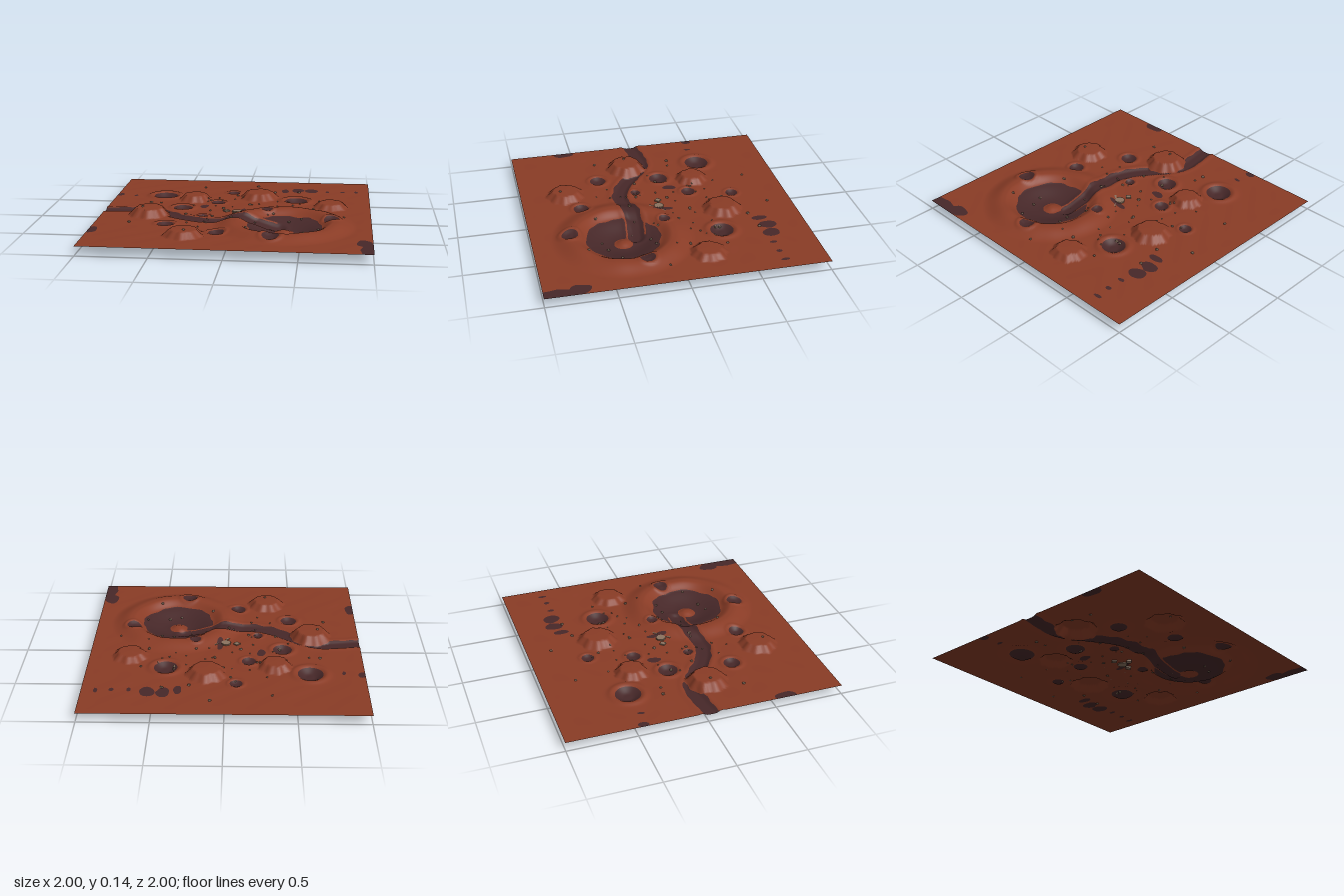
import * as THREE from 'three';
import { mergeGeometries } from 'three/addons/utils/BufferGeometryUtils.js';

const BASE = 0.082, N = 170;
const BASIN = { x: 0.375, z: 0.345, r: 0.27 };
// x, z, dark floor radius
const CRATERS = [
  [-0.61, -0.45, 0.092], [-0.08, -0.59, 0.046], [-0.17, -0.27, 0.052], [0.43, -0.37, 0.085],
  [-0.42, -0.09, 0.07], [0.23, 0.01, 0.042], [-0.24, 0.13, 0.036], [-0.48, 0.38, 0.06],
  [-0.09, 0.575, 0.056], [0.3, 0.72, 0.06], [0.71, 0.24, 0.055],
];
// x, z, radius, height
const MESAS = [
  [-0.64, 0.125, 0.15, 0.056], [-0.36, -0.345, 0.122, 0.046], [0.135, -0.455, 0.145, 0.05],
  [0.7, -0.2, 0.13, 0.04], [-0.31, 0.66, 0.14, 0.046],
];
// Dark ground patches: x, z, half width, half depth
const PATCHES = [
  [0.33, -0.69, 0.03, 0.055], [0.43, -0.72, 0.045, 0.07], [0.54, -0.71, 0.055, 0.06],
  [0.67, -0.68, 0.014, 0.025], [0.79, -0.69, 0.016, 0.02], [0.9, -0.69, 0.013, 0.03],
  [-0.98, -0.45, 0.03, 0.04], [-0.85, -0.43, 0.012, 0.03], [-0.98, 0.58, 0.04, 0.075],
  [0.94, 0.75, 0.055, 0.08], [0.97, 0.9, 0.055, 0.17], [-0.26, -0.14, 0.03, 0.055], [0.045, -0.02, 0.025, 0.07],
];
const RIVER = new THREE.CatmullRomCurve3([
  [-1.1, 0.04], [-0.85, 0], [-0.7, -0.01], [-0.59, 0.03], [-0.5, 0.1], [-0.36, 0.2],
  [-0.2, 0.26], [0, 0.235], [0.15, 0.22], [0.32, 0.24],
].map(([x, z]) => new THREE.Vector3(x, 0, z))).getPoints(70);

const smooth = (a, b, x) => THREE.MathUtils.smoothstep(x, a, b);
const bump = (x, w) => Math.exp(-(x * x) / (w * w));

function riverDistance(x, z) {
  let best = 9;
  for (let i = 1; i < RIVER.length; i++) {
    const a = RIVER[i - 1], b = RIVER[i], ux = b.x - a.x, uz = b.z - a.z;
    const t = THREE.MathUtils.clamp(((x - a.x) * ux + (z - a.z) * uz) / (ux * ux + uz * uz), 0, 1);
    best = Math.min(best, Math.hypot(x - a.x - ux * t, z - a.z - uz * t));
  }
  return best;
}

// Mesa outline with a gently fluted edge
function mesaReach([mx, mz, r], x, z) {
  const a = Math.atan2(z - mz, x - mx);
  return Math.hypot(x - mx, z - mz) / (r * (1 + 0.04 * Math.sin(a * 9 + mx * 20) + 0.03 * Math.sin(a * 5 + mz * 9)));
}

function height(x, z) {
  let y = BASE + 0.0012 * Math.sin(x * 17 + 2 * Math.sin(z * 9)) * Math.sin(z * 15 + x * 6);
  const edge = 1 - smooth(0.85, 1, Math.max(Math.abs(x), Math.abs(z)));
  y = BASE + (y - BASE) * edge;

  // Great basin: bowl, raised rim, central peak
  const d = Math.hypot(x - BASIN.x, z - BASIN.z);
  const rim = d > 0.35 ? 1 - smooth(0.37, 0.52, d) : smooth(0.26, 0.35, d);
  y += 0.042 * rim * (0.93 + 0.07 * Math.sin(Math.atan2(z - BASIN.z, x - BASIN.x) * 7));
  y -= 0.056 * (1 - smooth(0.08, 0.31, d));
  y += 0.02 * (1 - smooth(0.01, 0.075, d));

  for (const [cx, cz, r] of CRATERS) {
    const q = Math.hypot(x - cx, z - cz) / r;
    if (q < 2.5) y += 0.13 * r * bump(q - 1.3, 0.28) - 0.32 * r * (1 - smooth(0.3, 1.15, q));
  }
  const rd = riverDistance(x, z);
  y += -0.013 * (1 - smooth(0.025, 0.065, rd)) + 0.004 * bump(rd - 0.075, 0.018);
  for (const m of MESAS) {
    const q = mesaReach(m, x, z);
    if (q < 1.05) {
      const lift = 1 - THREE.MathUtils.clamp((q - 0.66) / 0.36, 0, 1);
      y = THREE.MathUtils.lerp(y, BASE + m[3], lift) + 0.003 * lift * (1 - q);
    }
  }
  return y;
}

// Positive where the ground is dark
function darkness(x, z) {
  const a = Math.atan2(z - BASIN.z, x - BASIN.x), d = Math.hypot(x - BASIN.x, z - BASIN.z);
  const wobble = 0.006 * Math.sin(x * 41 + z * 13) * Math.sin(z * 37 - x * 11);
  let f = BASIN.r + 0.006 * Math.sin(a * 6) + wobble - d;
  const rd = riverDistance(x, z);
  f = Math.max(f, 0.057 + wobble - rd);
  for (const [cx, cz, r] of CRATERS) f = Math.max(f, r - Math.hypot(x - cx, z - cz));
  for (const [px, pz, w, h] of PATCHES) {
    const q = Math.hypot((x - px) / w, (z - pz) / h);
    f = Math.max(f, (1 - q) * Math.min(w, h) + wobble);
  }
  // Pale peak, mesas and channel banks
  f = Math.min(f, d - 0.068);
  for (const m of MESAS) f = Math.min(f, (mesaReach(m, x, z) - 1) * m[2]);
  if (x > 0.08 && x < 0.325 && d < 0.32) f = Math.min(f, Math.abs(rd - 0.066) - 0.007);
  return f;
}

// Keep the part of a triangle on one side of the colour border
function clip(poly, sign) {
  const out = [];
  poly.forEach((p, i) => {
    const q = poly[(i + 1) % poly.length], a = p.f * sign, b = q.f * sign;
    if (a >= 0) out.push(p);
    if (a * b < 0) {
      const t = a / (a - b), mix = (k) => p[k] + (q[k] - p[k]) * t;
      out.push({ x: mix('x'), y: mix('y'), z: mix('z'), nx: mix('nx'), nz: mix('nz'), f: 0 });
    }
  });
  return out;
}

function terrainGeometries() {
  const grid = [], e = 0.004;
  for (let j = 0; j <= N; j++) for (let i = 0; i <= N; i++) {
    const x = -1 + (2 * i) / N, z = -1 + (2 * j) / N;
    grid.push({
      x, z, y: height(x, z), f: darkness(x, z) || 1e-6,
      nx: (height(x - e, z) - height(x + e, z)) / (2 * e),
      nz: (height(x, z - e) - height(x, z + e)) / (2 * e),
    });
  }
  return [-1, 1].map((sign) => {
    const pos = [], nor = [];
    const add = (tri) => {
      const p = clip(tri, sign);
      for (let k = 2; k < p.length; k++) for (const v of [p[0], p[k - 1], p[k]]) {
        const l = Math.hypot(v.nx, 1, v.nz);
        pos.push(v.x, v.y, v.z);
        nor.push(v.nx / l, 1 / l, v.nz / l);
      }
    };
    for (let j = 0; j < N; j++) for (let i = 0; i < N; i++) {
      const a = grid[j * (N + 1) + i], b = grid[j * (N + 1) + i + 1];
      const c = grid[(j + 1) * (N + 1) + i], d = grid[(j + 1) * (N + 1) + i + 1];
      add([a, c, b]);
      add([b, c, d]);
    }
    const g = new THREE.BufferGeometry();
    g.setAttribute('position', new THREE.Float32BufferAttribute(pos, 3));
    g.setAttribute('normal', new THREE.Float32BufferAttribute(nor, 3));
    return g;
  });
}

export function createModel() {
  const model = new THREE.Group();
  const material = (name, color, extra) => new THREE.MeshStandardMaterial({ name, color, ...extra });
  const soil = material('rust soil', 0x8a3c26, { side: THREE.DoubleSide });
  const basalt = material('dark basalt', 0x472829, { side: THREE.DoubleSide });
  const stone = material('grey stone', 0x8c7460, { flatShading: true });
  const add = (name, geometry, mat) => {
    const mesh = new THREE.Mesh(geometry, mat);
    mesh.name = name;
    model.add(mesh);
  };

  const [soilGeometry, basaltGeometry] = terrainGeometries();
  add('soilGround', soilGeometry, soil);
  add('basaltGround', basaltGeometry, basalt);

  // Central landing pad with small pads around it
  add('centralPad', new THREE.CylinderGeometry(0.036, 0.036, 0.018, 10).translate(0, BASE + 0.002, 0), stone);
  for (const [x, z] of [[-0.08, -0.01], [0.08, -0.01], [0, 0.065]])
    add('sidePad', new THREE.CylinderGeometry(0.026, 0.026, 0.016, 4).translate(x, BASE + 0.002, z), stone);

  // Loose boulders: some placed, the rest scattered around the middle
  let seed = 7;
  const rand = () => (seed = (seed * 16807) % 2147483647) / 2147483647;
  const spots = [
    [0.1, -0.82], [-0.33, -0.75], [-0.04, -0.5], [-0.69, -0.22], [-0.61, -0.21], [-0.23, -0.3], [0.08, -0.22],
    [0.37, -0.37], [0.37, -0.34], [0.44, -0.65], [0.61, -0.36], [0.8, 0.1], [-0.75, 0.36], [-0.3, 0.7], [-0.69, 0.13],
    [-0.37, 0.11], [0.52, 0.62], [0.25, -0.62], [0.4, 0.15], [0.49, 0.13], [0.62, 0.4], [0.45, 0.47], [0.36, 0.5],
    [0.11, 0.5], [-0.11, -0.09], [-0.4, -0.06], [0.22, -0.1], [0.28, 0.07], [-0.02, 0.22], [-0.17, 0.14], [0.57, -0.1],
  ];
  for (let i = 0; i < 36; i++) {
    const a = rand() * Math.PI * 2, r = 0.12 + 0.5 * rand();
    spots.push([Math.cos(a) * r, Math.sin(a) * r]);
  }
  const boulders = spots.map(([x, z], i) => new THREE.DodecahedronGeometry(i < 31 ? 0.009 + 0.004 * rand() : 0.005 + 0.003 * rand())
    .rotateX(rand() * 3).rotateY(rand() * 3).scale(1, 0.8, 1).translate(x, height(x, z) + 0.002, z));
  add('boulders', mergeGeometries(boulders), stone);
  return model;
}
